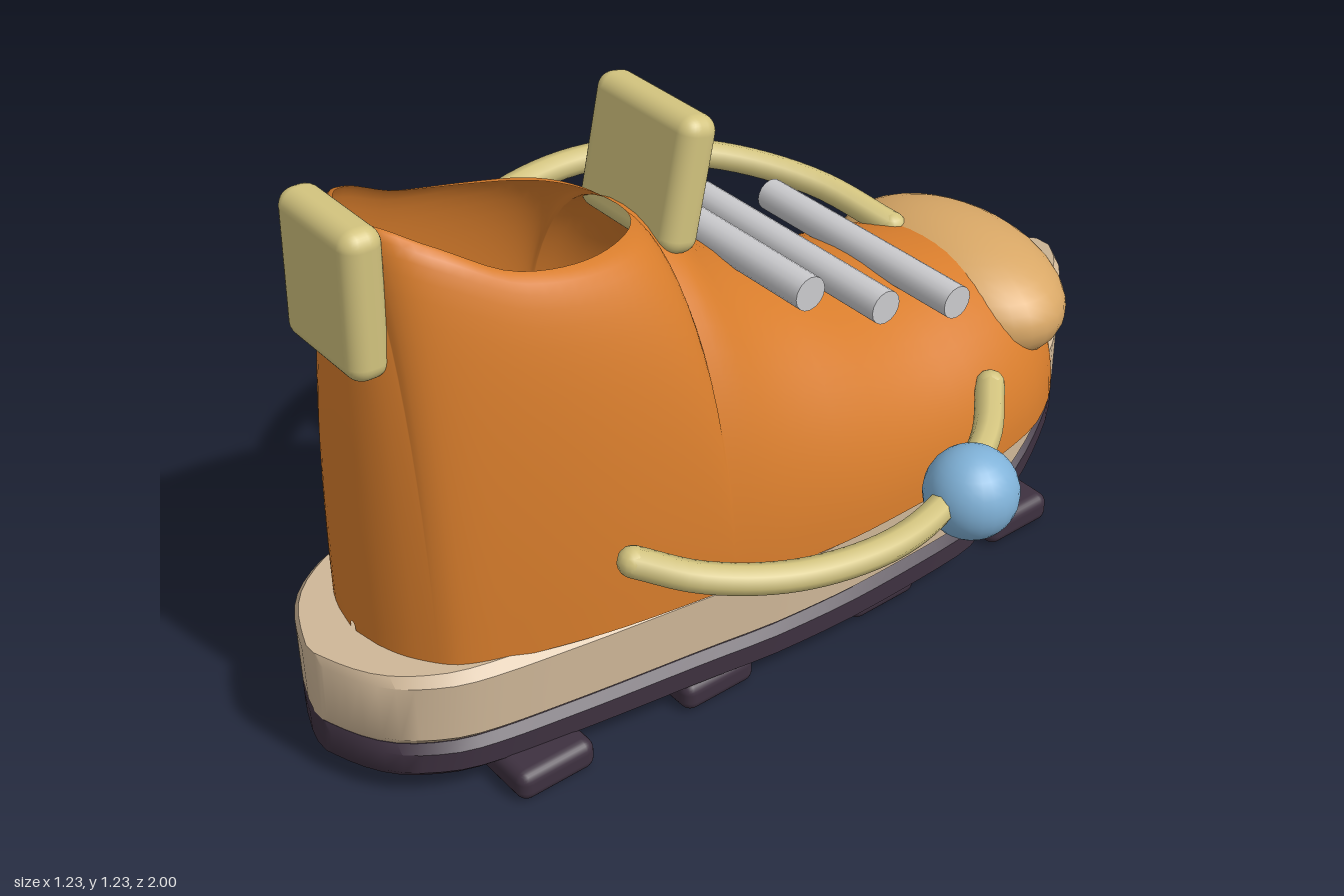
import * as THREE from 'three';
import { mergeVertices, toCreasedNormals } from 'three/addons/utils/BufferGeometryUtils.js';
import { RoundedBoxGeometry } from 'three/addons/geometries/RoundedBoxGeometry.js';

const CX = -0.025; // centre line of the shoe

// smooth monotone curve through [z, value] pairs
function profile(p) {
  const d = p.slice(1).map((q, i) => (q[1] - p[i][1]) / (q[0] - p[i][0]));
  const m = p.map((_, i) => {
    if (i === 0) return d[0];
    if (i === p.length - 1) return d[i - 1];
    return d[i - 1] * d[i] <= 0 ? 0 : 2 * d[i - 1] * d[i] / (d[i - 1] + d[i]);
  });
  return z => {
    let i = 0;
    while (i < p.length - 2 && z > p[i + 1][0]) i++;
    const h = p[i + 1][0] - p[i][0], t = THREE.MathUtils.clamp((z - p[i][0]) / h, 0, 1);
    const t2 = t * t, t3 = t2 * t;
    return (2 * t3 - 3 * t2 + 1) * p[i][1] + (t3 - 2 * t2 + t) * h * m[i]
      + (3 * t2 - 2 * t3) * p[i + 1][1] + (t3 - t2) * h * m[i + 1];
  };
}

// skin a list of equal-length rows of points
function skin(rows, closed) {
  const n = rows[0].length, pos = rows.flat(2), idx = [];
  for (let i = 0; i < rows.length - 1; i++) {
    for (let j = 0; j < (closed ? n : n - 1); j++) {
      const k = (j + 1) % n, a = i * n + j, b = i * n + k, c = b + n, d = a + n;
      idx.push(a, b, d, b, c, d);
    }
  }
  if (closed) {
    const e = (rows.length - 1) * n;
    for (let j = 1; j < n - 1; j++) idx.push(0, j + 1, j, e, e + j, e + j + 1);
  }
  const g = new THREE.BufferGeometry();
  g.setAttribute('position', new THREE.Float32BufferAttribute(pos, 3));
  g.setIndex(idx);
  return g;
}

// stations crowded toward both ends
const stations = (a, b, n) => Array.from({ length: n + 1 },
  (_, i) => (a + b) / 2 - (b - a) / 2 * Math.cos(Math.PI * i / n));

const soleWidth = profile([[-1, 0.04], [-0.98, 0.075], [-0.95, 0.105], [-0.88, 0.17], [-0.8, 0.235],
  [-0.6, 0.325], [-0.35, 0.38], [-0.1, 0.386], [0.1, 0.375], [0.3, 0.345], [0.6, 0.3], [0.8, 0.26],
  [0.9, 0.205], [0.95, 0.15], [0.98, 0.09], [1, 0.035]]);
const lift = z => 0.17 * Math.max(0, (-0.43 - z) / 0.57);

// bevelled slab following the sole outline and the toe lift
function slab(y0, y1, b) {
  const zs = [...stations(-1, 1, 48), -0.43].sort((p, q) => p - q);
  const rows = zs.map(z => {
    const w = soleWidth(z), v = w - Math.min(b, w * 0.6), l = lift(z);
    return [[v, y0], [w, y0 + b], [w, y1 - b], [v, y1], [-v, y1], [-w, y1 - b], [-w, y0 + b], [-v, y0]]
      .map(([x, y]) => [CX + x, y + l, z]);
  });
  return toCreasedNormals(skin(rows, true), 0.6);
}

// upper: arches along z, parted by the ankle opening
const BASE = 0.295, HOLE_Z = 0.535, HOLE_R = 0.295;
const upperWidth = profile([[-0.875, 0.05], [-0.86, 0.13], [-0.8, 0.235], [-0.7, 0.315], [-0.6, 0.36],
  [-0.4, 0.393], [-0.1, 0.4], [0.1, 0.385], [0.3, 0.357], [0.5, 0.322], [0.7, 0.265], [0.8, 0.222],
  [0.86, 0.15], [0.89, 0.08], [0.903, 0.01]]);
const upperHeight = profile([[-0.875, 0.42], [-0.85, 0.48], [-0.8, 0.545], [-0.7, 0.61], [-0.55, 0.643],
  [-0.4, 0.665], [-0.3, 0.69], [-0.2, 0.73], [-0.1, 0.78], [0, 0.83], [0.1, 0.9], [0.2, 0.995],
  [0.3, 1.03], [0.45, 1.05], [0.6, 1.085], [0.75, 1.17], [0.82, 1.2], [0.85, 1.12], [0.885, 0.8],
  [0.903, 0.32]]);
const rim = z => 0.195 * Math.sqrt(Math.max(0, 1 - ((z - HOLE_Z) / HOLE_R) ** 2));

function upperGeometry() {
  const zs = [...stations(-0.875, 0.24, 30), ...stations(0.24, 0.83, 30).slice(1),
    ...stations(0.83, 0.903, 12).slice(1)];
  const half = s => zs.map(z => {
    const w = upperWidth(z), h = upperHeight(z), r = Math.min(rim(z), w);
    return Array.from({ length: 17 }, (_, j) => {
      const t = j / 16 * Math.PI / 2;
      const x = j === 16 ? r : r + (w - r) * Math.cos(t) ** 0.93;
      return [CX + s * x, BASE + (h - BASE) * Math.sin(t), z];
    });
  });
  // both halves welded where they meet on the centre line
  const right = half(1), left = half(-1).map(r => r.reverse());
  const a = skin(right, false), b = skin(left, false), n = a.attributes.position.count;
  const g = new THREE.BufferGeometry();
  g.setAttribute('position', new THREE.Float32BufferAttribute(
    [...a.attributes.position.array, ...b.attributes.position.array], 3));
  g.setIndex([...a.index.array, ...Array.from(b.index.array, i => i + n)]);
  const welded = mergeVertices(g, 1e-4);
  welded.computeVertexNormals();
  return welded;
}

export function createModel() {
  const model = new THREE.Group();
  const mat = (name, color, side = THREE.FrontSide) => {
    const m = new THREE.MeshStandardMaterial({ color, side });
    m.name = name;
    return m;
  };
  const orange = mat('orange', 0xd87d2c, THREE.DoubleSide);
  const beige = mat('beige', 0xcfb798);
  const amber = mat('amber', 0xd8a766);
  const straw = mat('straw', 0xd2c37e);
  const plum = mat('dark plum', 0x3e3140);
  const grey = mat('light grey', 0xcbcbce);
  const blue = mat('blue', 0x80b2d8);
  const add = (name, geo, m, x = 0, y = 0, z = 0, parent = model) => {
    const mesh = new THREE.Mesh(geo, m);
    mesh.name = name;
    mesh.position.set(x, y, z);
    parent.add(mesh);
    return mesh;
  };

  // sole layers
  add('outsole', slab(0.05, 0.132, 0.018), plum);
  add('midsole', slab(0.132, 0.302, 0.02), beige);

  // cleats in two columns
  const cleat = new RoundedBoxGeometry(0.185, 0.07, 0.182, 3, 0.025);
  for (const z of [0.67, 0.26, -0.2, -0.615]) {
    for (const s of [-1, 1]) add('cleat', cleat, plum, CX + s * 0.257, 0.035, z);
  }

  // upper, insole inside it, and toe cap
  add('upper', upperGeometry(), orange);
  const floor = add('insole', new THREE.CircleGeometry(1, 32), orange, CX, 0.32, 0.5);
  floor.rotation.x = -Math.PI / 2;
  floor.scale.set(0.25, 0.34, 1);
  const cap = add('toeCap', new THREE.SphereGeometry(1, 32, 20), amber, CX, 0.5, -0.685);
  cap.scale.set(0.315, 0.148, 0.205);

  // tongue and heel tab
  add('tongue', new RoundedBoxGeometry(0.305, 0.285, 0.085, 4, 0.035), straw, CX, 1.08, 0.165)
    .rotation.x = -0.22;
  add('heelTab', new RoundedBoxGeometry(0.255, 0.305, 0.085, 4, 0.035), straw, CX - 0.002, 1.073, 0.862)
    .rotation.x = -0.03;

  // laces
  const lace = new THREE.CylinderGeometry(0.037, 0.037, 0.6, 16);
  for (const [y, z] of [[0.857, 0], [0.745, -0.205], [0.677, -0.41]]) {
    add('lace', lace, grey, CX, y, z).rotation.z = Math.PI / 2;
  }

  // side cords, each lying in a tilted plane
  const cord = (name, points, height) => {
    const group = new THREE.Group();
    group.name = name;
    model.add(group);
    const pts = points.map(([x, z]) => new THREE.Vector3(x, height(x), z));
    add('cord', new THREE.TubeGeometry(new THREE.CatmullRomCurve3(pts), 40, 0.032, 8), straw, 0, 0, 0, group);
    for (const p of [pts[0], pts[pts.length - 1]]) {
      add('cordEnd', new THREE.SphereGeometry(0.032, 12, 8), straw, p.x, p.y, p.z, group);
    }
  };
  cord('rightCord', [[-0.12, -0.595], [-0.3, -0.52], [-0.46, -0.37], [-0.56, -0.17], [-0.585, 0],
    [-0.55, 0.22], [-0.46, 0.39], [-0.35, 0.49]], x => 0.58 - 0.333 * x);
  cord('leftCord', [[0.33, -0.47], [0.43, -0.36], [0.51, -0.18], [0.54, 0], [0.505, 0.22],
    [0.42, 0.39], [0.33, 0.485]], x => 0.585 - 0.333 * x);
  add('bead', new THREE.SphereGeometry(0.1, 24, 16), blue, 0.517, 0.41, -0.235);

  return model;
}
